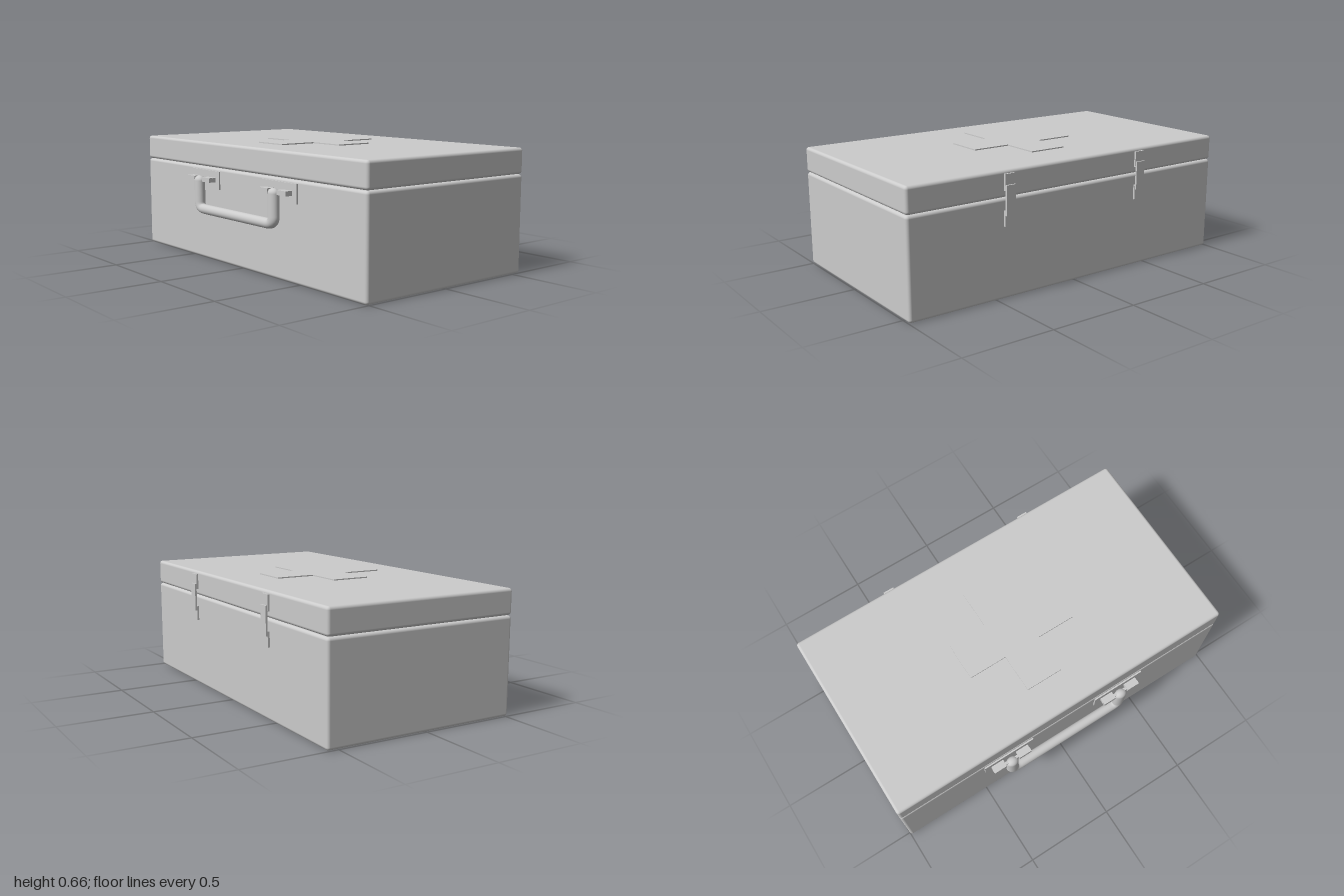
import * as THREE from 'three';
import { RoundedBoxGeometry } from 'three/addons/geometries/RoundedBoxGeometry.js';

const material = new THREE.MeshStandardMaterial({ color: 0xcccccc });

function add(parent, name, geometry, x = 0, y = 0, z = 0) {
  const mesh = new THREE.Mesh(geometry, material);
  mesh.name = name;
  mesh.position.set(x, y, z);
  parent.add(mesh);
  return mesh;
}

// Box given by its lower and upper corners; a radius rounds its edges
function block(parent, name, [x0, y0, z0], [x1, y1, z1], radius = 0) {
  const size = [x1 - x0, y1 - y0, z1 - z0];
  const geometry = radius
    ? new RoundedBoxGeometry(...size, 4, radius)
    : new THREE.BoxGeometry(...size);
  return add(parent, name, geometry, (x0 + x1) / 2, (y0 + y1) / 2, (z0 + z1) / 2);
}

// Raised plus-shaped panel on the lid
function crossGeometry(reach, half, height) {
  const shape = new THREE.Shape();
  const corners = [[half, half], [half, reach], [-half, reach]];
  for (let i = 0; i < 4; i++) {
    const c = Math.round(Math.cos(i * Math.PI / 2));
    const s = Math.round(Math.sin(i * Math.PI / 2));
    corners.forEach(([x, y], k) => {
      const px = x * c - y * s, py = x * s + y * c;
      if (i === 0 && k === 0) shape.moveTo(px, py);
      else shape.lineTo(px, py);
    });
  }
  shape.closePath();
  return new THREE.ExtrudeGeometry(shape, { depth: height, bevelEnabled: false }).rotateX(-Math.PI / 2);
}

// U-shaped grip: round tube stretched sideways, with rounded upper ends
function addHandle(parent) {
  const handle = new THREE.Group();
  handle.name = 'handle';
  const r = 0.027, stretch = 1.28, hx = 0.348 / stretch, bend = 0.04;
  const top = 0.445, low = 0.289;
  const v = (x, y) => new THREE.Vector3(x, y, 0);
  const path = new THREE.CurvePath();
  path.add(new THREE.LineCurve3(v(-hx, top), v(-hx, low + bend)));
  path.add(new THREE.QuadraticBezierCurve3(v(-hx, low + bend), v(-hx, low), v(-hx + bend, low)));
  path.add(new THREE.LineCurve3(v(-hx + bend, low), v(hx - bend, low)));
  path.add(new THREE.QuadraticBezierCurve3(v(hx - bend, low), v(hx, low), v(hx, low + bend)));
  path.add(new THREE.LineCurve3(v(hx, low + bend), v(hx, top)));
  add(handle, 'grip', new THREE.TubeGeometry(path, 160, r, 24));
  for (const side of [-1, 1]) {
    add(handle, 'gripEnd', new THREE.SphereGeometry(r, 24, 8, 0, Math.PI * 2, 0, Math.PI / 2), side * hx, top);
  }
  handle.scale.x = stretch;
  handle.position.z = 0.553;
  parent.add(handle);
}

export function createModel() {
  const model = new THREE.Group();
  model.name = 'firstAidCase';

  // Case halves
  block(model, 'body', [-1, 0, -0.56], [1, 0.519, 0.515], 0.016);
  block(model, 'lid', [-1, 0.521, -0.56], [1, 0.657, 0.515], 0.016);
  add(model, 'cross', crossGeometry(0.32, 0.105, 0.008), 0, 0.655, 0);

  addHandle(model);

  for (const s of [-1, 1]) {
    // Handle mount: wall plate, two lugs and the pin between them
    const mount = new THREE.Group();
    mount.name = 'handleMount';
    block(mount, 'mountPlate', [-0.15, 0.404, 0.51], [0.15, 0.503, 0.523]);
    for (const k of [-1, 1]) {
      const a = k * 0.04, b = k * 0.113;
      block(mount, 'lug', [Math.min(a, b), 0.442, 0.52], [Math.max(a, b), 0.467, 0.563]);
    }
    block(mount, 'pin', [-0.115, 0.448, 0.539], [0.115, 0.463, 0.555]);
    mount.position.x = s * 0.348;
    model.add(mount);

    // Rear hinge: a plate on each half, joined by a strap
    const hinge = new THREE.Group();
    hinge.name = 'hinge';
    block(hinge, 'upperPlate', [-0.03, 0.556, -0.571], [0.03, 0.64, -0.555]);
    block(hinge, 'lowerPlate', [-0.03, 0.376, -0.571], [0.03, 0.457, -0.555]);
    block(hinge, 'strap', [-0.028, 0.432, -0.58], [0.028, 0.585, -0.57]);
    hinge.position.x = s * 0.43;
    model.add(hinge);
  }
  return model;
}
